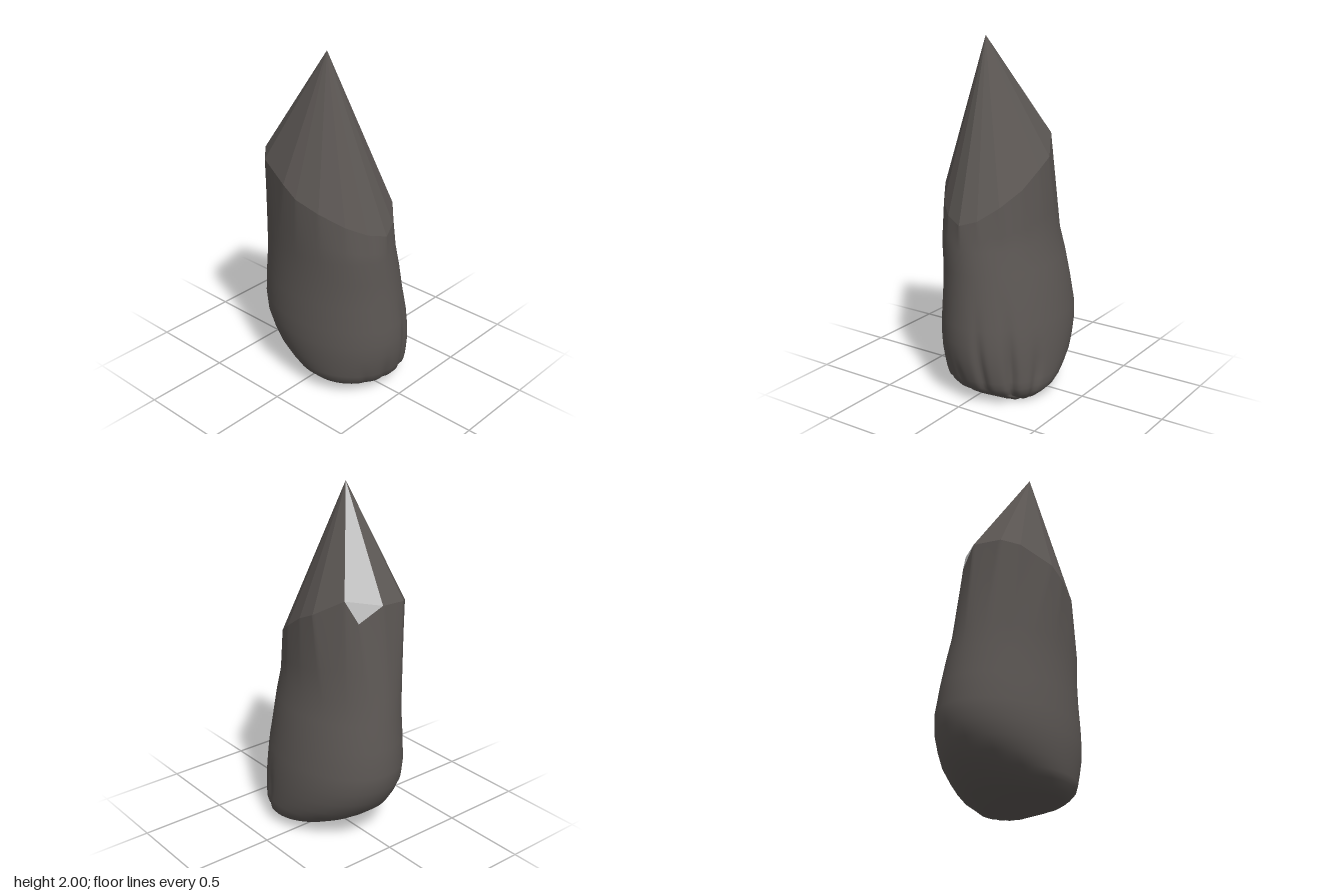
import * as THREE from 'three';

// Slanted rim where the pointed top meets the leg, from +x round through +z: [x, y, z]
const RIM = [
  [0.22, 1.29, 0.03], [0.2, 1.2, 0.17], [0.14, 1.12, 0.3], [0.05, 1.05, 0.38],
  [-0.045, 1.02, 0.415], [-0.15, 1.05, 0.37], [-0.24, 1.1, 0.29], [-0.32, 1.17, 0.17],
  [-0.36, 1.23, 0.04], [-0.36, 1.29, -0.05], [-0.3, 1.36, -0.25], [-0.22, 1.39, -0.325],
  [-0.045, 1.41, -0.355], [0.08, 1.32, -0.305], [0.125, 1.44, -0.24], [0.215, 1.34, -0.08],
];
const APEX = [-0.12, 2, 0.05];

// Leg and foot sections from top to sole: [y, xMin, xMax, zMin, zMax]
const LEVELS = [
  [0.88, -0.335, 0.245, -0.415, 0.42],
  [0.75, -0.33, 0.28, -0.43, 0.428],
  [0.6, -0.335, 0.31, -0.45, 0.44],
  [0.45, -0.34, 0.338, -0.465, 0.46],
  [0.35, -0.34, 0.349, -0.452, 0.465],
  [0.27, -0.332, 0.354, -0.415, 0.462],
  [0.2, -0.32, 0.355, -0.37, 0.45],
  [0.14, -0.305, 0.354, -0.295, 0.435],
  [0.1, -0.29, 0.35, -0.235, 0.42],
  [0.065, -0.255, 0.338, -0.165, 0.39],
  [0.04, -0.215, 0.315, -0.08, 0.35],
  [0.015, 0.05, 0.285, 0.0, 0.29],
];

// Grooves between the toes: [angle, depth, height reached]
const GROOVES = [[0.41, 0.05, 0.36], [0.83, 0.085, 0.5], [1.3, 0.05, 0.5], [1.75, 0.03, 0.25], [2.15, 0.02, 0.2]];
const SUB = 10;
const COLS = RIM.length * SUB;

function grooveScale(t, y) {
  let s = 1;
  for (const [angle, depth, top] of GROOVES) {
    const fade = Math.max(0, 1 - y / top);
    s -= depth * Math.min(1, fade * 1.8) * Math.exp(-(((t - angle) / 0.08) ** 2));
  }
  return s;
}

function rimPoint(j) {
  const i = Math.floor(j / SUB), f = (j % SUB) / SUB;
  const a = RIM[i], b = RIM[(i + 1) % RIM.length];
  return a.map((v, k) => v + (b[k] - v) * f);
}

function levelPoint([y, x0, x1, z0, z1], j) {
  const t = (j / COLS) * Math.PI * 2;
  const s = grooveScale(t, y);
  return [
    (x0 + x1) / 2 + ((x1 - x0) / 2) * Math.cos(t) * s, y,
    (z0 + z1) / 2 + ((z1 - z0) / 2) * Math.sin(t) * s,
  ];
}

// Leg and foot as one lofted skin, closed by the sole
function legGeometry() {
  const pos = [], index = [];
  const mix = (a, b, f) => a.map((v, k) => v + (b[k] - v) * f);
  const rows = [
    rimPoint,
    ...[0.33, 0.67].map((f) => (j) => mix(rimPoint(j), levelPoint(LEVELS[0], j), f)),
    ...LEVELS.map((level) => (j) => levelPoint(level, j)),
  ];
  for (const row of rows) for (let j = 0; j < COLS; j++) pos.push(...row(j));
  for (let r = 0; r < rows.length - 1; r++) {
    for (let j = 0; j < COLS; j++) {
      const k = (j + 1) % COLS;
      const a = r * COLS + j, b = r * COLS + k, c = a + COLS, d = b + COLS;
      index.push(a, b, c, b, d, c);
    }
  }
  const last = (rows.length - 1) * COLS, centre = rows.length * COLS;
  pos.push(0.17, 0, 0.15);
  for (let j = 0; j < COLS; j++) index.push(last + j, last + ((j + 1) % COLS), centre);
  const g = new THREE.BufferGeometry();
  g.setAttribute('position', new THREE.Float32BufferAttribute(pos, 3));
  g.setIndex(index);
  g.computeVertexNormals();
  return g;
}

// Separate flat triangles
function facets(triangles) {
  const g = new THREE.BufferGeometry();
  g.setAttribute('position', new THREE.Float32BufferAttribute(triangles.flat(2), 3));
  g.computeVertexNormals();
  return g;
}

export function createModel() {
  const group = new THREE.Group();
  const darkHide = new THREE.MeshStandardMaterial({ color: 0x5c5754 });
  const paleGrey = new THREE.MeshStandardMaterial({ color: 0xc0c0c0 });
  const add = (name, geometry, material) => {
    const mesh = new THREE.Mesh(geometry, material);
    mesh.name = name;
    group.add(mesh);
  };

  add('legAndFoot', legGeometry(), darkHide);

  // Faceted point, leaving out the pale cut at the back
  const sides = [];
  RIM.forEach((p, i) => {
    if (i !== 12 && i !== 13) sides.push([p, APEX, RIM[(i + 1) % RIM.length]]);
  });
  add('pointedTop', facets(sides), darkHide);

  // Pale cut: one long face and the small one under it
  add('paleCut', facets([[RIM[12], APEX, RIM[14]], [RIM[12], RIM[14], RIM[13]]]), paleGrey);

  return group;
}
